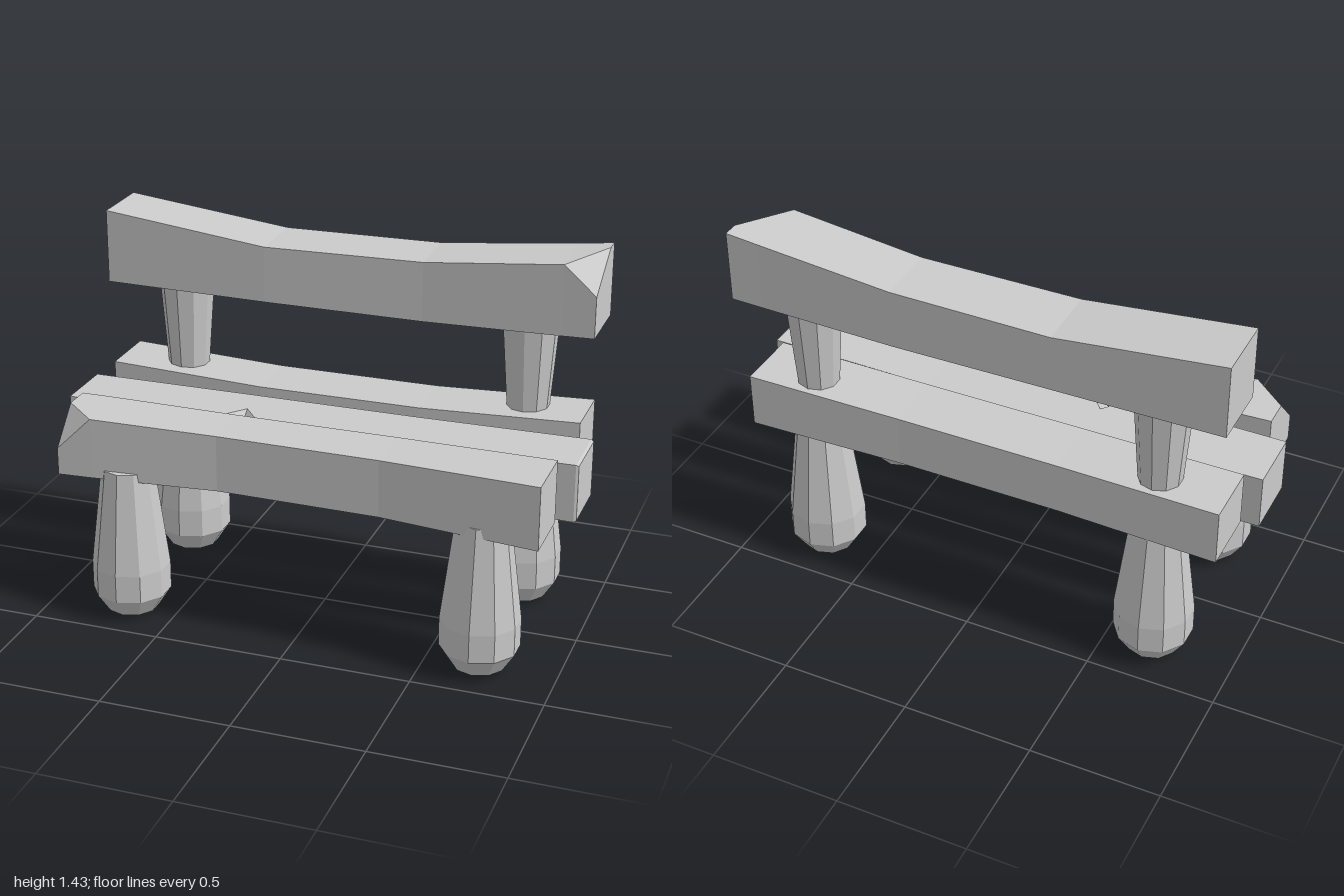
import * as THREE from 'three';

const material = new THREE.MeshStandardMaterial({ color: 0xcccccc, flatShading: true, roughness: 0.9 });

// Plank lofted through stations [x, bottom, top, back z, front z, chip drop, chip reach].
// The chip lowers the front top corner and pulls the top edge back.
function plank(name, stations) {
  const rings = stations.map(([x, y0, y1, zb, zf, drop = 0, reach = 0]) => [
    [x, y0, zf], [x, y0, zb], [x, y1, zb], [x, y1, zf - reach], [x, y1 - drop, zf],
  ].map((p) => new THREE.Vector3(...p)));
  const points = [];
  const tri = (a, b, c) => {
    if (a.equals(b) || b.equals(c) || c.equals(a)) return;
    points.push(a, b, c);
  };
  for (let s = 0; s < rings.length - 1; s++) {
    const a = rings[s], b = rings[s + 1];
    for (let i = 0; i < 5; i++) {
      const j = (i + 1) % 5;
      tri(a[i], a[j], b[i]);
      tri(a[j], b[j], b[i]);
    }
  }
  // End caps
  const first = rings[0], last = rings[rings.length - 1];
  for (let i = 1; i < 4; i++) {
    tri(first[0], first[i + 1], first[i]);
    tri(last[0], last[i], last[i + 1]);
  }
  const geometry = new THREE.BufferGeometry().setFromPoints(points);
  geometry.computeVertexNormals();
  const mesh = new THREE.Mesh(geometry, material);
  mesh.name = name;
  return mesh;
}

// Ten-sided turned post from a [radius, y] profile
function post(name, profile, x, z) {
  const geometry = new THREE.LatheGeometry(profile.map((p) => new THREE.Vector2(...p)), 10);
  const mesh = new THREE.Mesh(geometry, material);
  mesh.name = name;
  mesh.position.set(x, 0, z);
  return mesh;
}

export function createModel() {
  const bench = new THREE.Group();
  bench.name = 'bench';

  // Seat: three rough beams, the outer two bowed towards the middle
  bench.add(plank('frontSeatPlank', [
    [-0.925, 0.565, 0.805, 0.16, 0.395, 0.135, 0.13],
    [-0.79, 0.565, 0.803, 0.155, 0.386],
    [-0.3, 0.57, 0.79, 0.135, 0.35],
    [0.33, 0.57, 0.793, 0.142, 0.363],
    [0.935, 0.56, 0.805, 0.175, 0.42],
  ]));
  bench.add(plank('middleSeatPlank', [
    [-1, 0.55, 0.765, -0.125, 0.12],
    [-0.4, 0.555, 0.765, -0.128, 0.122],
    [-0.31, 0.555, 0.765, -0.128, 0.122, 0.08, 0.112],
    [-0.22, 0.555, 0.765, -0.128, 0.122],
    [0.33, 0.555, 0.765, -0.128, 0.122],
    [0.99, 0.545, 0.77, -0.128, 0.12],
    [1, 0.55, 0.765, -0.122, 0.115],
  ]));
  bench.add(plank('backSeatPlank', [
    [-0.945, 0.59, 0.807, -0.42, -0.175],
    [-0.32, 0.585, 0.79, -0.395, -0.155],
    [0.32, 0.585, 0.79, -0.395, -0.157],
    [0.935, 0.59, 0.807, -0.42, -0.175],
  ]));

  // Backrest: sagging top edge with a broken corner
  bench.add(plank('backrest', [
    [-0.95, 1.145, 1.432, -0.42, -0.165],
    [-0.3, 1.138, 1.357, -0.418, -0.16],
    [0.32, 1.132, 1.363, -0.418, -0.17],
    [0.85, 1.145, 1.417, -0.422, -0.16],
    [0.975, 1.15, 1.432, -0.425, -0.155, 0.122, 0.21],
  ]));

  // Legs and backrest posts
  const leg = [[0, 0], [0.1, 0.013], [0.15, 0.09], [0.15, 0.2], [0.1, 0.6], [0, 0.6]];
  const support = [[0, 0.78], [0.08, 0.78], [0.108, 1.16], [0, 1.16]];
  for (const [side, x] of [['right', -0.68], ['left', 0.705]]) {
    bench.add(post(side + 'FrontLeg', leg, x, 0.305));
    bench.add(post(side + 'BackLeg', leg, x, -0.305));
    bench.add(post(side + 'BackrestPost', support, x, -0.305));
  }
  return bench;
}
